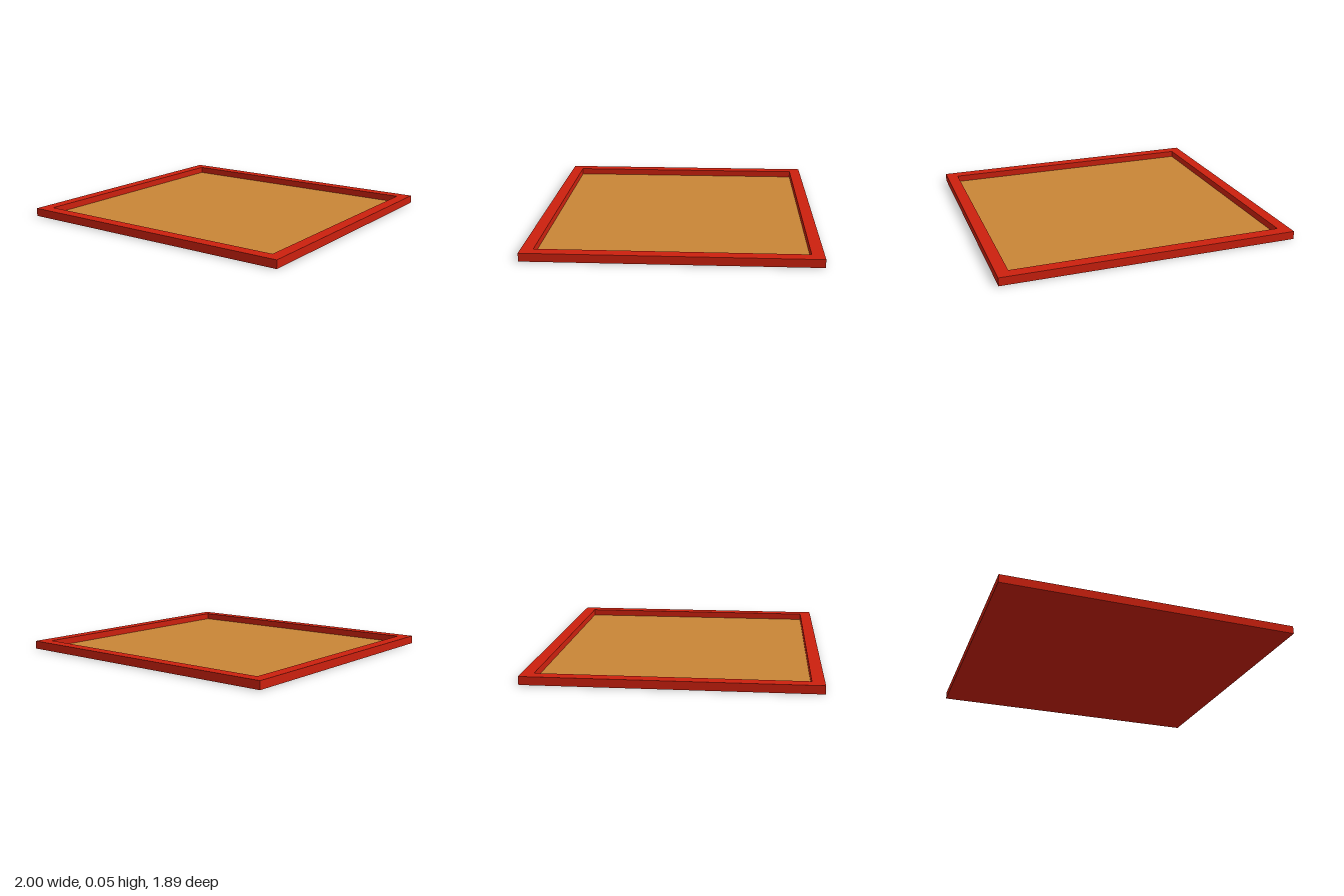
import * as THREE from 'three';

const WIDTH = 2, DEPTH = 1.89, HEIGHT = 0.055;
const RIM = 0.08;      // width of the raised border
const FLOOR = 0.01;    // level of the sunken panel

// Adds the corners of a centred rectangle to a shape or path.
function rectangle(path, w, d) {
  return path.moveTo(-w / 2, -d / 2).lineTo(w / 2, -d / 2)
    .lineTo(w / 2, d / 2).lineTo(-w / 2, d / 2).closePath();
}

export function createModel() {
  const group = new THREE.Group();
  group.name = 'tray';
  const red = new THREE.MeshStandardMaterial({ color: 0xcc200e });
  const tan = new THREE.MeshStandardMaterial({ color: 0xc98536 });
  const innerW = WIDTH - 2 * RIM, innerD = DEPTH - 2 * RIM;

  // Raised border, extruded upwards around the opening
  const outline = rectangle(new THREE.Shape(), WIDTH, DEPTH);
  outline.holes.push(rectangle(new THREE.Path(), innerW, innerD));
  const frameGeometry = new THREE.ExtrudeGeometry(outline, { depth: HEIGHT, bevelEnabled: false });
  frameGeometry.rotateX(-Math.PI / 2);
  const frame = new THREE.Mesh(frameGeometry, red);
  frame.name = 'frame';
  group.add(frame);

  // Sunken panel, with a red underside
  const panel = new THREE.Mesh(
    new THREE.BoxGeometry(innerW, FLOOR, innerD),
    [tan, tan, tan, red, tan, tan]
  );
  panel.name = 'panel';
  panel.position.y = FLOOR / 2;
  group.add(panel);

  return group;
}
